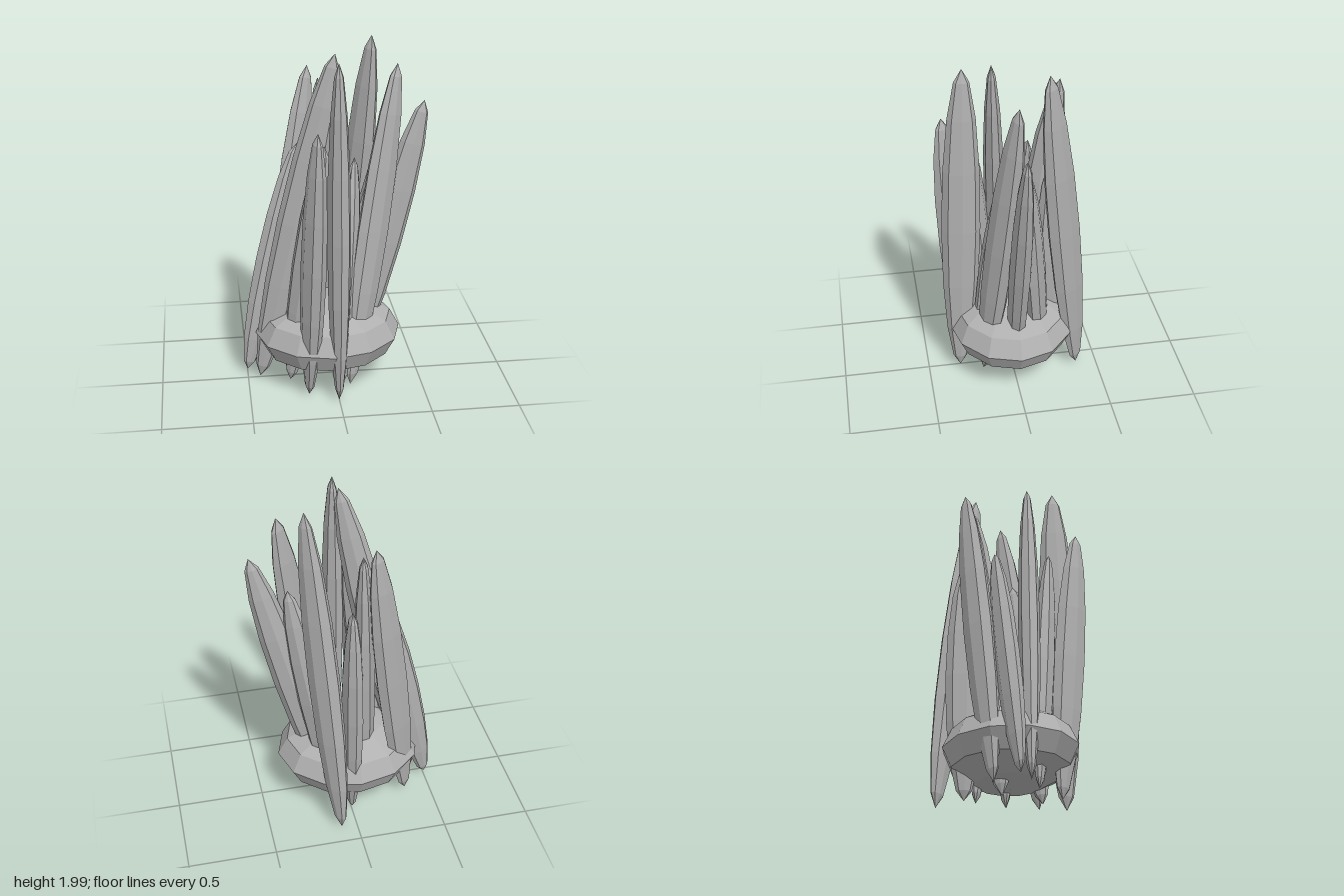
import * as THREE from 'three';

// Each spike: [bottom tip], [top tip], half thickness along its lean, half thickness across it
const SPIKES = [
  [[0.09, 0.01, -0.38], [0.235, 2.0, -0.16], 0.11, 0.065],
  [[0.07, 0.04, -0.17], [0.31, 1.47, -0.04], 0.095, 0.058],
  [[0.09, 0.03, 0.0], [0.505, 1.67, 0.0], 0.1, 0.062],
  [[0.08, 0.03, 0.18], [0.35, 1.885, 0.015], 0.105, 0.062],
  [[0.04, 0.05, 0.19], [0.115, 1.37, 0.04], 0.09, 0.055],
  [[0.0, 0.01, 0.31], [0.0, 1.96, 0.26], 0.11, 0.065],
  [[-0.165, 0.02, 0.245], [-0.12, 1.62, 0.365], 0.1, 0.062],
  [[-0.26, 0.04, 0.1], [-0.07, 1.5, 0.215], 0.09, 0.056],
  [[-0.43, 0.03, 0.02], [0.0, 1.97, 0.105], 0.105, 0.06],
  [[-0.5, 0.04, -0.05], [-0.185, 1.41, -0.125], 0.095, 0.058],
  [[-0.35, 0.03, -0.155], [-0.11, 1.81, -0.285], 0.105, 0.062],
  [[0.0, 0.03, -0.245], [0.0, 1.42, -0.25], 0.11, 0.062],
  [[-0.125, 0.03, -0.065], [-0.055, 1.75, -0.24], 0.1, 0.06],
];

export function createModel() {
  const group = new THREE.Group();
  const stone = new THREE.MeshStandardMaterial({ color: 0xb0b0b0 });
  stone.name = 'grey stone';
  stone.flatShading = true;

  // Squashed faceted base
  const base = new THREE.Mesh(new THREE.SphereGeometry(1, 12, 6), stone);
  base.name = 'base';
  base.scale.set(0.42, 0.21, 0.37);
  base.position.set(-0.03, 0.307, 0);
  group.add(base);

  // Slender spindles, each wider in the direction it leans
  const spindle = new THREE.SphereGeometry(1, 8, 8);
  SPIKES.forEach(([bottom, top, thick, thin], i) => {
    const a = new THREE.Vector3(...bottom);
    const b = new THREE.Vector3(...top);
    const axis = b.clone().sub(a);
    const half = axis.length() / 2;
    axis.normalize();
    const across = new THREE.Vector3(axis.x, 0, axis.z).cross(new THREE.Vector3(0, 1, 0)).normalize();
    const lean = axis.clone().cross(across).normalize();
    const mesh = new THREE.Mesh(spindle, stone);
    mesh.name = `spike${i + 1}`;
    mesh.quaternion.setFromRotationMatrix(
      new THREE.Matrix4().makeBasis(lean, axis, lean.clone().cross(axis)));
    mesh.scale.set(thick, half, thin);
    mesh.position.copy(a).add(b).multiplyScalar(0.5);
    group.add(mesh);
  });

  return group;
}
